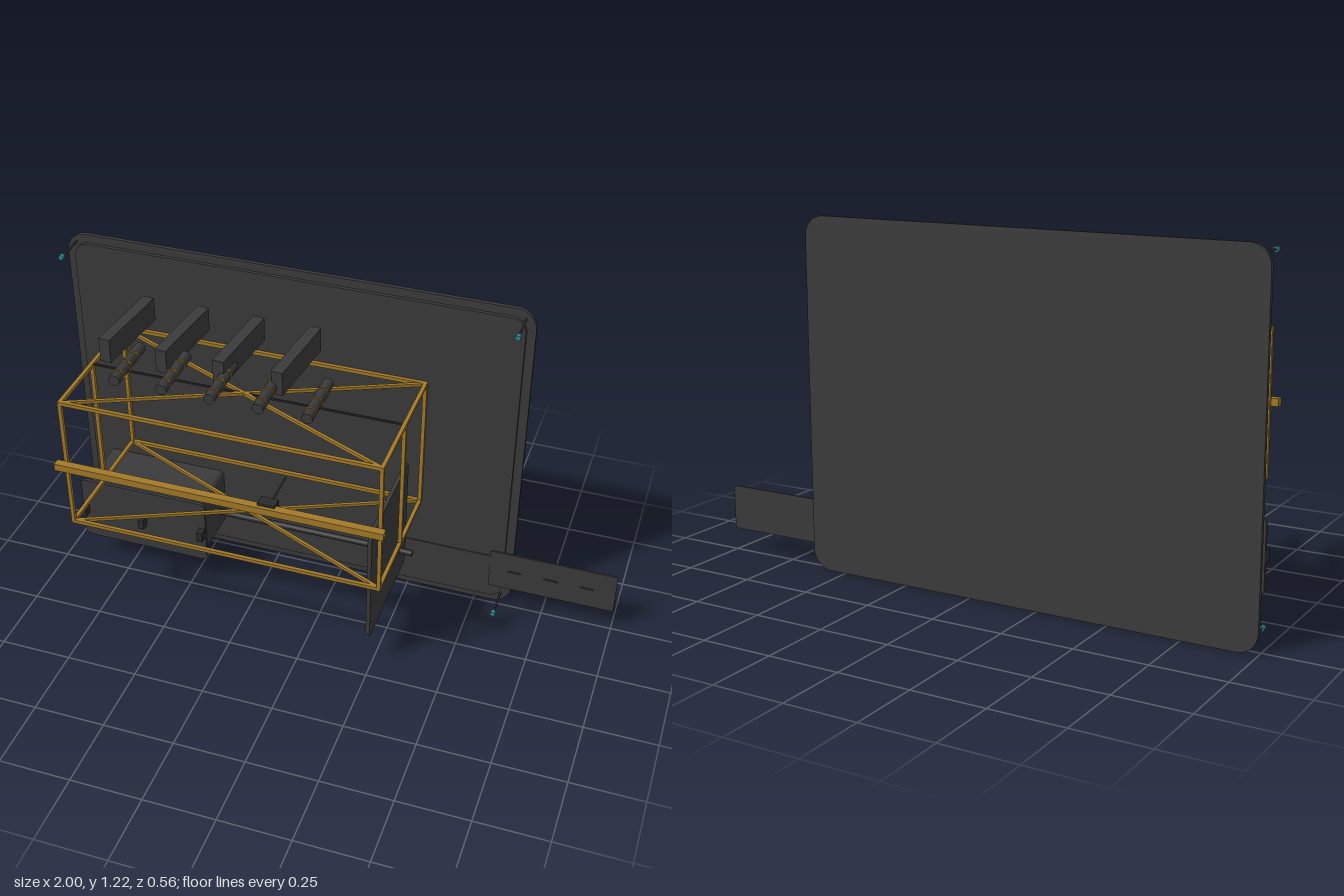
import * as THREE from 'three';

const mat = (name, color) => {
  const m = new THREE.MeshStandardMaterial({ color });
  m.name = name;
  return m;
};

export function createModel() {
  const root = new THREE.Group();
  root.name = 'wallPanelRig';
  const charcoal = mat('charcoal', 0x3b3b3b);
  const black = mat('black', 0x2b2b2b);
  const gold = mat('gold', 0xa37a28);
  const teal = mat('teal', 0x2f8890);

  const add = (name, geo, material, x = 0, y = 0, z = 0, parent = root) => {
    const m = new THREE.Mesh(geo, material);
    m.name = name;
    m.position.set(x, y, z);
    parent.add(m);
    return m;
  };

  // Box given by its limits on each axis
  const span = (name, material, [x0, x1], [y0, y1], [z0, z1]) =>
    add(name, new THREE.BoxGeometry(x1 - x0, y1 - y0, z1 - z0), material,
      (x0 + x1) / 2, (y0 + y1) / 2, (z0 + z1) / 2);

  // Rounded rectangle in XY, centred, extruded along z
  const roundedPlate = (w, h, r, depth) => {
    const s = new THREE.Shape();
    const a = w / 2, b = h / 2;
    s.moveTo(-a + r, -b);
    s.absarc(a - r, -b + r, r, -Math.PI / 2, 0);
    s.absarc(a - r, b - r, r, 0, Math.PI / 2);
    s.absarc(-a + r, b - r, r, Math.PI / 2, Math.PI);
    s.absarc(-a + r, -b + r, r, Math.PI, Math.PI * 1.5);
    return new THREE.ExtrudeGeometry(s, { depth, bevelEnabled: false, curveSegments: 8 })
      .translate(0, 0, -depth / 2);
  };

  // Cylinder along z
  const rodZ = (r, len, sides = 12) =>
    new THREE.CylinderGeometry(r, r, len, sides).rotateX(Math.PI / 2);

  // Square bar between two points
  const bar = (name, p, q, t, material) => {
    const a = new THREE.Vector3(...p), b = new THREE.Vector3(...q);
    const m = add(name, new THREE.BoxGeometry(t, t, a.distanceTo(b) + t * 0.9), material);
    m.position.copy(a).add(b).multiplyScalar(0.5);
    m.lookAt(b);
    return m;
  };

  // Back panel with a raised inner plate
  add('backPanel', roundedPlate(1.63, 1.222, 0.07, 0.014), charcoal, -0.185, 0.611, -0.273);
  add('innerPlate', roundedPlate(1.57, 1.162, 0.05, 0.012), charcoal, -0.185, 0.611, -0.26);

  // Corner pins with teal tips
  for (const x of [-0.965, 0.595]) for (const y of [0.04, 1.19]) {
    add('cornerPin', rodZ(0.004, 0.11, 8), black, x, y, -0.21);
    add('pinTip', rodZ(0.009, 0.016), teal, x, y, -0.152);
  }

  // Open cage: long edges, uprights, side edges and crossed braces
  const X = [-0.81, 0.285], Y = [0.4, 0.89], Z = [-0.244, 0.244], T = 0.013;
  for (const y of Y) {
    for (const z of Z) bar('cageLongBar', [X[0], y, z], [X[1], y, z], T, gold);
    for (const x of X) bar('cageSideBar', [x, y, Z[0]], [x, y, Z[1]], T, gold);
    bar('cageBrace', [X[0], y, Z[0]], [X[1], y, Z[1]], 0.011, gold);
    bar('cageBrace', [X[0], y, Z[1]], [X[1], y, Z[0]], 0.011, gold);
  }
  for (const x of X) for (const z of [Z[0], 0, Z[1]])
    bar('cageUpright', [x, Y[0], z], [x, Y[1], z], T, gold);
  bar('cageTopWire', [X[0], Y[1], 0], [X[1], Y[1], 0], 0.006, black);

  // Front rail with its sliding carriage
  span('frontRail', gold, [-0.84, 0.305], [0.634, 0.66], [0.252, 0.28]);
  span('carriage', black, [-0.122, -0.063], [0.624, 0.669], [0.228, 0.268]);
  add('carriageNeedle', rodZ(0.004, 0.15, 8), black, -0.092, 0.646, 0.159);

  // Row of angled slabs
  for (let i = 0; i < 4; i++) {
    const slab = add('angledSlab', new THREE.BoxGeometry(0.04, 0.086, 0.297),
      charcoal, -0.71 + i * 0.2, 0.998, -0.086);
    slab.rotation.y = -0.1;
  }

  // Row of tubes with gold bands
  for (let i = 0; i < 5; i++) {
    const x = -0.635 + i * 0.164;
    add('tube', rodZ(0.019, 0.21, 16), charcoal, x, 0.98, 0.085);
    for (const z of [0.04, 0.097, 0.155])
      add('tubeBand', rodZ(0.022, 0.005, 16), gold, x, 0.98, z);
  }

  // Control box, front cover, cover tabs and vent
  add('controlBox', roundedPlate(0.45, 0.23, 0.02, 0.205), charcoal, -0.683, 0.224, -0.153);
  add('controlCover', roundedPlate(0.48, 0.25, 0.02, 0.012), charcoal, -0.684, 0.226, -0.036);
  for (const x of [-0.912, -0.684, -0.456])
    span('coverTab', black, [x - 0.011, x + 0.011], [0.205, 0.243], [-0.03, 0.0]);
  span('boxVent', black, [-0.82, -0.54], [0.102, 0.112], [-0.23, -0.12]);

  // Drive shaft from the box through the side shield
  add('driveShaft', new THREE.CylinderGeometry(0.011, 0.011, 0.75, 16).rotateZ(Math.PI / 2),
    black, -0.085, 0.23, -0.156);
  const shield = add('sideShield', roundedPlate(0.425, 0.445, 0.018, 0.014), charcoal,
    0.238, 0.352, -0.011);
  shield.rotation.y = Math.PI / 2;

  // Slide track and the arm reaching past the panel
  span('slideTrack', charcoal, [-0.45, 0.55], [0.168, 0.213], [-0.256, -0.25]);
  add('slideArm', roundedPlate(0.45, 0.157, 0.008, 0.006), charcoal, 0.775, 0.159, -0.252);
  for (const x of [0.64, 0.77, 0.9])
    span('armSlot', black, [x - 0.025, x + 0.025], [0.155, 0.163], [-0.25, -0.247]);

  return root;
}
